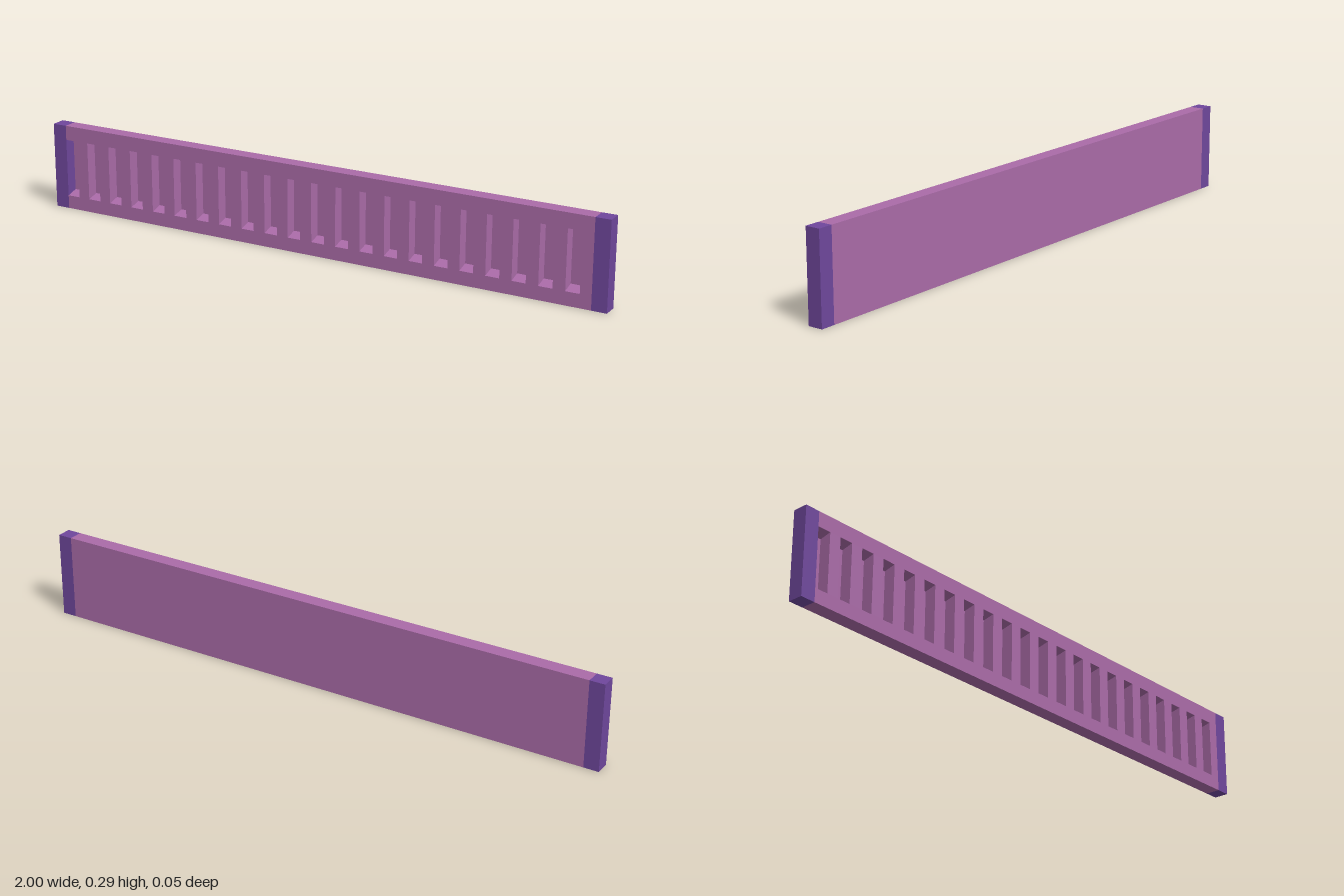
import * as THREE from 'three';

const H = 0.29, FRONT = 0.025, BACK = -0.025, FLOOR = -0.015; // FLOOR: back of the slots
const INNER = 0.95;             // half length of the middle section
const SLOTS = 22, PITCH = 0.0865, SLOT_W = 0.046;

// Extrude a [z, y] outline along x from x0 to x1
function extrudeX(points, x0, x1) {
  const shape = new THREE.Shape(points.map(([z, y]) => new THREE.Vector2(-z, y)));
  const geometry = new THREE.ExtrudeGeometry(shape, { depth: x1 - x0, bevelEnabled: false });
  geometry.rotateY(Math.PI / 2);
  geometry.translate(x0, 0, 0);
  return geometry;
}

export function createModel() {
  const group = new THREE.Group();
  const pink = new THREE.MeshStandardMaterial({ color: 0xaa6ba8 });
  const violet = new THREE.MeshStandardMaterial({ color: 0x6f479c });
  const add = (name, geometry, material) => {
    const mesh = new THREE.Mesh(geometry, material);
    mesh.name = name;
    group.add(mesh);
  };

  // End caps
  for (const side of [-1, 1]) {
    const cap = new THREE.BoxGeometry(1 - INNER, H, FRONT - BACK);
    cap.translate(side * (1 + INNER) / 2, H / 2, 0);
    add(side > 0 ? 'leftEndCap' : 'rightEndCap', cap, violet);
  }

  // Frame: C-shaped section whose lips slope towards the slot floor
  add('slottedFrame', extrudeX([
    [BACK, 0], [FRONT, 0], [FRONT, 0.045], [FLOOR, 0.056],
    [FLOOR, 0.232], [FRONT, 0.241], [FRONT, H], [BACK, H],
  ], -INNER, INNER), pink);

  // Ribs fill the channel between the slots
  const rib = [[FRONT, 0.045], [FLOOR, 0.056], [FLOOR, 0.232], [FRONT, 0.241]];
  for (let i = 0; i < SLOTS; i++) {
    const start = -INNER + i * PITCH + SLOT_W;
    const end = i === SLOTS - 1 ? INNER : -INNER + (i + 1) * PITCH;
    add('rib', extrudeX(rib, start, end), pink);
  }
  return group;
}
